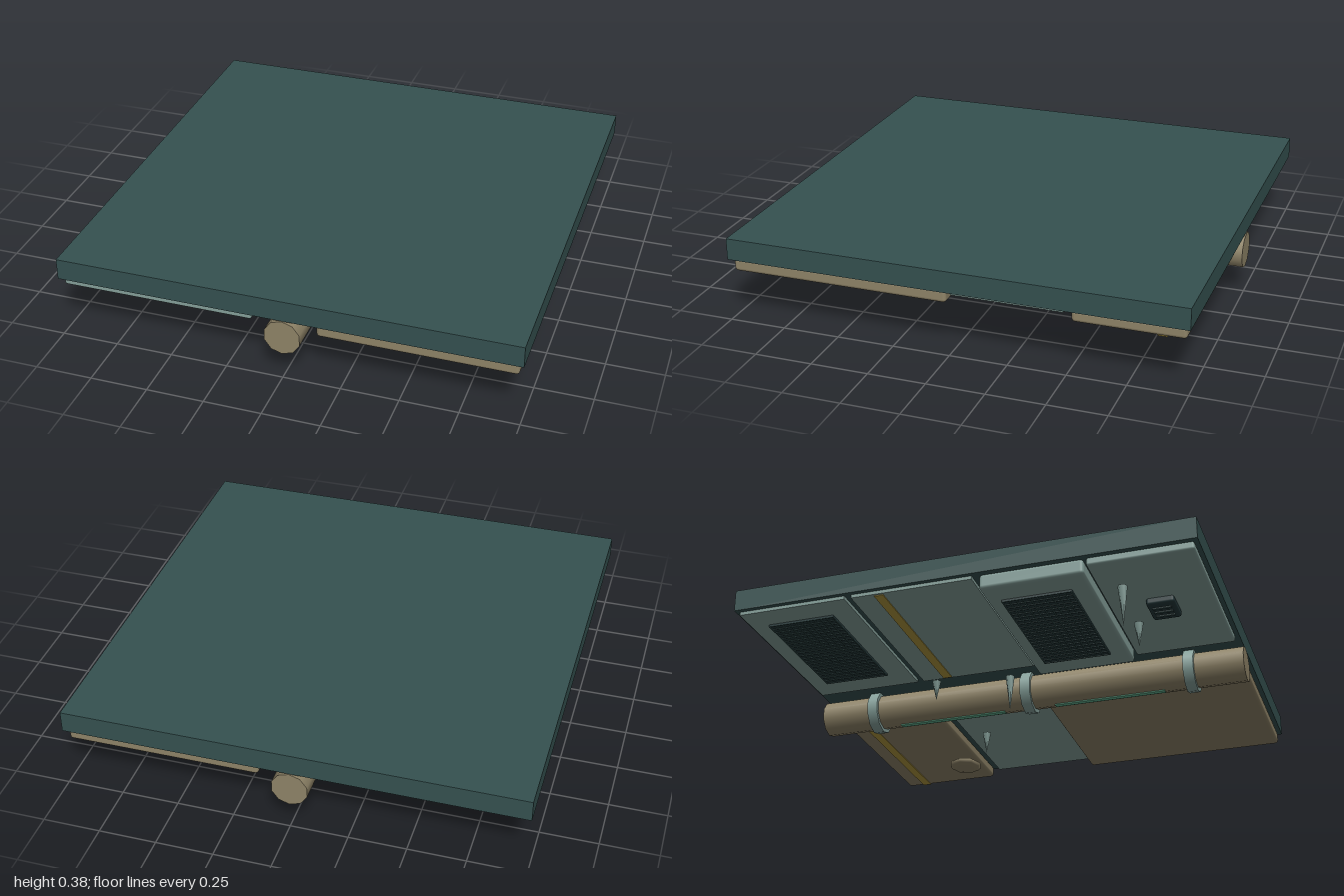
import * as THREE from 'three';
import { RoundedBoxGeometry } from 'three/addons/geometries/RoundedBoxGeometry.js';

const mat = (name, color, flatShading = false) => {
  const m = new THREE.MeshStandardMaterial({ color, flatShading });
  m.name = name;
  return m;
};

export function createModel() {
  const group = new THREE.Group();
  const slabMat = mat('dark teal slab', 0x355150);
  const tan = mat('tan metal', 0x8f8468);
  const teal = mat('pale teal metal', 0x86a19b);
  const dark = mat('dark vent', 0x24383a);
  const yellow = mat('yellow stripe', 0xb0983f);
  const green = mat('green light', 0x5fae8c);

  const add = (name, geometry, material, x = 0, y = 0, z = 0, parent = group) => {
    const mesh = new THREE.Mesh(geometry, material);
    mesh.name = name;
    mesh.position.set(x, y, z);
    parent.add(mesh);
    return mesh;
  };
  // Box given by its limits, with rounded edges if r > 0
  const block = (name, material, x0, x1, y0, y1, z0, z1, r = 0, parent = group) => {
    const s = [x1 - x0, y1 - y0, z1 - z0];
    const geo = r ? new RoundedBoxGeometry(...s, 2, r) : new THREE.BoxGeometry(...s);
    return add(name, geo, material, (x0 + x1) / 2, (y0 + y1) / 2, (z0 + z1) / 2, parent);
  };

  // Ceiling slab
  block('ceilingSlab', slabMat, -1, 1, 0.28, 0.375, -0.997, 0.997);

  // Panels on the underside
  block('frontTanPanel', tan, 0.14, 0.98, 0.222, 0.281, 0.02, 0.98, 0.015);
  block('backTanPanel', tan, 0.14, 0.98, 0.228, 0.281, -0.98, -0.51, 0.015);
  block('middlePanel', teal, 0.14, 0.98, 0.265, 0.281, -0.48, 0);
  block('backVentPanel', teal, -0.98, -0.14, 0.265, 0.281, -0.98, -0.5);
  block('stripedPanel', teal, -0.98, -0.14, 0.265, 0.281, -0.47, 0.06);
  block('raisedVentPanel', teal, -0.98, -0.14, 0.213, 0.281, 0.09, 0.53, 0.015);
  block('frontSocketPanel', teal, -0.98, -0.14, 0.245, 0.281, 0.54, 0.98, 0.01);

  // Painted stripes
  block('backStripe', yellow, 0.15, 0.97, 0.224, 0.23, -0.9, -0.86);
  block('middleStripe', yellow, -0.97, -0.15, 0.261, 0.267, -0.37, -0.33);

  // Perforated vents: dark plate under a fine lattice
  for (const [y, z] of [[0.265, -0.75], [0.213, 0.3]]) {
    const vent = new THREE.Group();
    vent.name = 'vent';
    vent.position.set(-0.565, y, z);
    group.add(vent);
    block('ventPlate', dark, -0.3, 0.3, -0.007, 0.001, -0.15, 0.15, 0, vent);
    for (let i = 0; i <= 20; i++) {
      const x = -0.297 + i * 0.0297;
      block('ventBar', slabMat, x - 0.003, x + 0.003, -0.01, -0.007, -0.15, 0.15, 0, vent);
    }
    for (let i = 0; i <= 10; i++) {
      const d = -0.147 + i * 0.0294;
      block('ventCrossBar', slabMat, -0.3, 0.3, -0.01, -0.007, d - 0.003, d + 0.003, 0, vent);
    }
  }

  // Small socket with ribs
  block('socket', dark, -0.64, -0.49, 0.215, 0.25, 0.7, 0.82, 0.012);
  for (const x of [-0.6, -0.565, -0.53]) {
    block('socketRib', slabMat, x - 0.006, x + 0.006, 0.21, 0.216, 0.72, 0.8);
  }

  // Pipe with clamps and light strips
  const tube = (r, length) => new THREE.CylinderGeometry(r, r, length, 10).rotateX(Math.PI / 2).rotateZ(Math.PI);
  add('pipe', tube(0.08, 2), tan, 0, 0.2, 0);
  for (const z of [-0.745, 0, 0.755]) add('pipeClamp', tube(0.097, 0.048), teal, 0, 0.2, z);
  for (const z of [-0.375, 0.375]) {
    block('lightStrip', green, -0.012, 0.012, 0.119, 0.127, z - 0.255, z + 0.255);
  }

  // Hanging drips: x, z, tip height
  for (const [x, z, tip] of [
    [-0.885, 0.665, 0], [-0.56, 0.65, 0.07], [-0.235, -0.02, 0.015],
    [-0.285, -0.35, 0.09], [0.33, -0.325, 0.08],
  ]) {
    const h = 0.18 - tip;
    add('drip', new THREE.ConeGeometry(0.021, h, 6).rotateX(Math.PI), teal, x, tip + h / 2, z);
  }

  // Flattened growths
  for (const [x, z, rx, rz] of [[0.68, -0.56, 0.09, 0.08], [0.065, -0.43, 0.055, 0.07]]) {
    add('growth', new THREE.SphereGeometry(1, 8, 6).scale(rx, 0.022, rz), tan, x, 0.18, z);
  }
  return group;
}
